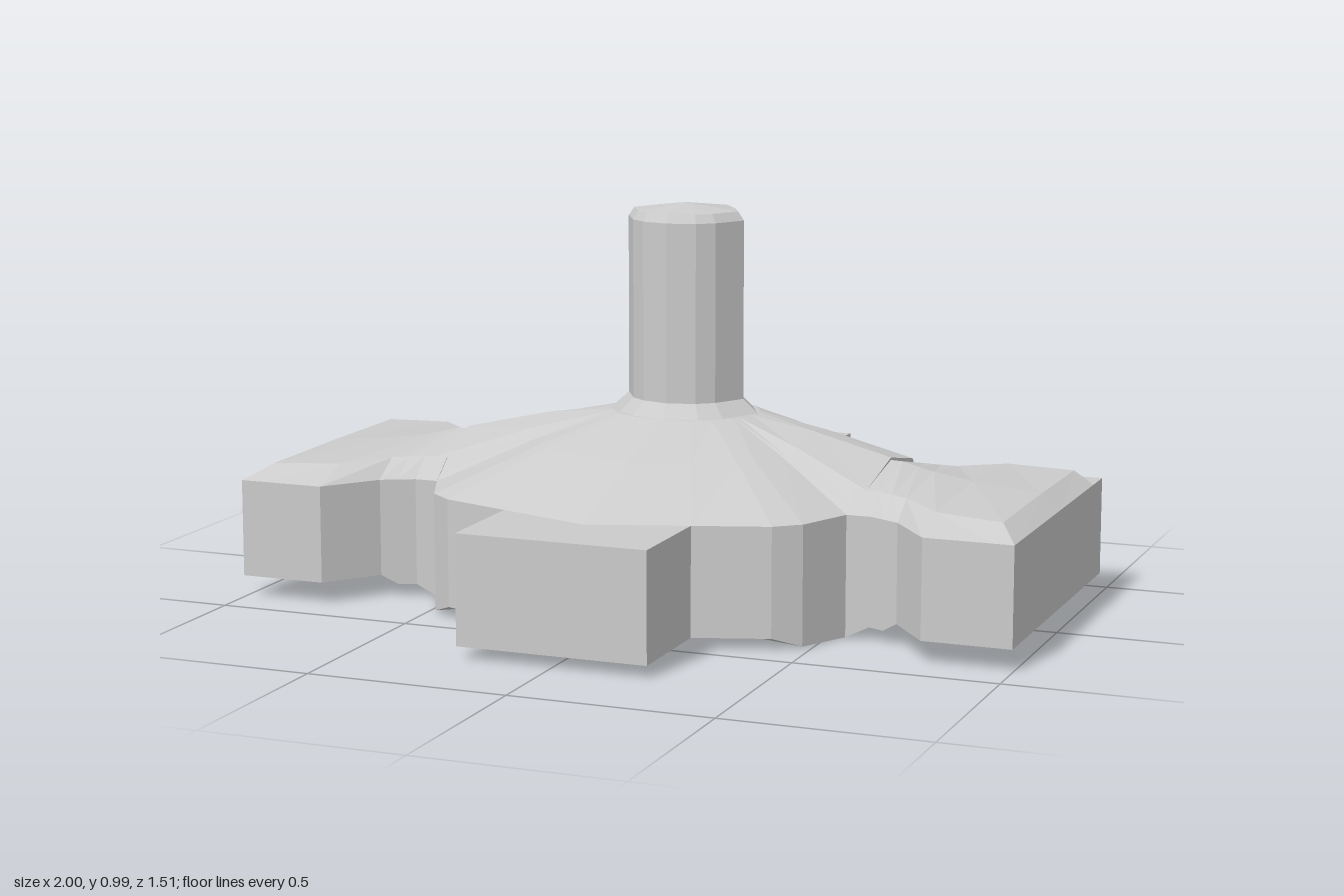
import * as THREE from 'three';

const material = new THREE.MeshStandardMaterial({ color: 0xcccccc, flatShading: true });
const openMaterial = new THREE.MeshStandardMaterial({ color: 0xcccccc, flatShading: true, side: THREE.DoubleSide });

// Skins a list of equal-length loops; caps are fans to the loop's middle (or a given point)
function loft(name, rings, { startCap = true, endCap = true, endPoint = null, mat = material } = {}) {
  const pos = [];
  const n = rings[0].length;
  const tri = (a, b, c) => pos.push(...a, ...b, ...c);
  const middle = (ring) => [0, 1, 2].map((k) => ring.reduce((s, p) => s + p[k], 0) / n);
  for (let i = 0; i < rings.length - 1; i++) {
    for (let j = 0; j < n; j++) {
      const k = (j + 1) % n;
      tri(rings[i][j], rings[i][k], rings[i + 1][k]);
      tri(rings[i][j], rings[i + 1][k], rings[i + 1][j]);
    }
  }
  const first = rings[0], last = rings[rings.length - 1];
  const m0 = middle(first), m1 = endPoint || middle(last);
  for (let j = 0; j < n; j++) {
    const k = (j + 1) % n;
    if (startCap) tri(m0, first[k], first[j]);
    if (endCap) tri(m1, last[j], last[k]);
  }
  const geometry = new THREE.BufferGeometry();
  geometry.setAttribute('position', new THREE.Float32BufferAttribute(pos, 3));
  geometry.computeVertexNormals();
  const mesh = new THREE.Mesh(geometry, mat);
  mesh.name = name;
  return mesh;
}

// Completes a half outline (x >= 0, front to back) with its mirror image
function mirrorOutline(half) {
  const other = half.filter((p) => p[0] > 0).reverse().map(([x, ...rest]) => [-x, ...rest]);
  return [...half, ...other];
}

const HUB_Z = -0.1;

function createBody() {
  // rim points: x, z, top height, bottom height
  const rim = mirrorOutline([
    [0, 0.56, 0.3, 0.035], [0.24, 0.48, 0.3, 0.03], [0.42, 0.42, 0.3, 0.03],
    [0.48, 0.37, 0.3, 0.005], [0.54, 0.23, 0.3, 0], [0.57, 0.23, 0.3, 0.015],
    [0.57, 0.17, 0.35, 0.015], [0.57, -0.02, 0.395, 0.015], [0.57, -0.2, 0.36, 0.015],
    [0.57, -0.25, 0.3, 0.015], [0.54, -0.25, 0.3, 0], [0.48, -0.36, 0.3, 0.01],
    [0.42, -0.44, 0.3, 0.03], [0.3, -0.59, 0.3, 0.008], [0.22, -0.65, 0.3, 0.005],
  ]);
  const hub = rim.map(([x, z]) => {
    const a = Math.atan2(z - HUB_Z, x);
    return [0.19 * Math.cos(a), 0.465, HUB_Z + 0.165 * Math.sin(a)];
  });
  const top = rim.map(([x, z, t]) => [x, t, z]);
  const mid = top.map((p, i) => p.map((v, k) => v * 0.45 + hub[i][k] * 0.55 + (k === 1 ? 0.007 : 0)));
  const bottom = rim.map(([x, z, , b]) => [x, b, z]);
  const under = rim.map(([x, z]) => [x * 0.8, 0, z * 0.74]);
  return loft('domedBody', [under, bottom, top, mid, hub]);
}

function createArm(name) {
  // stations: x, front z, back z, front shoulder z, back shoulder z, shoulder y, ridge y, bottom y
  const stations = [
    [0.54, 0.23, -0.25, 0.17, -0.2, 0.35, 0.39, 0],
    [0.6, 0.23, -0.25, 0.17, -0.2, 0.35, 0.388, 0.03],
    [0.64, 0.25, -0.265, 0.185, -0.21, 0.347, 0.378, 0.03],
    [0.68, 0.27, -0.28, 0.2, -0.22, 0.345, 0.368, 0.055],
    [0.78, 0.4, -0.42, 0.29, -0.33, 0.338, 0.352, 0.055],
    [0.95, 0.4, -0.42, 0.32, -0.33, 0.333, 0.335, 0.055],
    [1, 0.4, -0.42, 0.32, -0.33, 0.3, 0.3, 0.055],
  ];
  return Object.assign(loft(name, stations.map(([x, zf, zb, sf, sb, ys, yr, yb]) => [
    [x, yb, zf], [x, yb, zb], [x, 0.3, zb], [x, ys, sb], [x, yr, -0.02], [x, ys, sf], [x, 0.3, zf],
  ])), { name });
}

function createStem() {
  const section = mirrorOutline([
    [0, 0.03], [0.07, 0.012], [0.11, -0.02], [0.155, -0.1], [0.12, -0.17], [0.07, -0.24],
  ]);
  // height and scale of each ring: flared foot, straight shaft, bevelled top
  const rings = [[0.43, 1.32], [0.465, 1.25], [0.5, 1], [0.95, 1], [0.972, 0.9]];
  return loft('stem', rings.map(([y, s]) =>
    section.map(([x, z]) => [x * s, y, HUB_Z + (z - HUB_Z) * s])), { endPoint: [0, 0.99, HUB_Z] });
}

export function createModel() {
  const model = new THREE.Group();
  model.name = 'mount';
  model.add(createBody(), createStem());

  // side arms
  const leftArm = createArm('leftArm');
  const rightArm = createArm('rightArm');
  rightArm.scale.x = -1;
  model.add(leftArm, rightArm);

  // solid front tab
  const frontTab = new THREE.Mesh(new THREE.BoxGeometry(0.48, 0.27, 0.32), material);
  frontTab.name = 'frontTab';
  frontTab.position.set(0, 0.165, 0.595);
  model.add(frontTab);

  // back tab, a sleeve open at its end
  const sleeve = (z) => [[-0.22, 0.005, z], [0.22, 0.005, z], [0.22, 0.3, z], [-0.22, 0.3, z]];
  model.add(loft('backTab', [sleeve(-0.76), sleeve(-0.65)], { startCap: false, endCap: false, mat: openMaterial }));

  return model;
}
